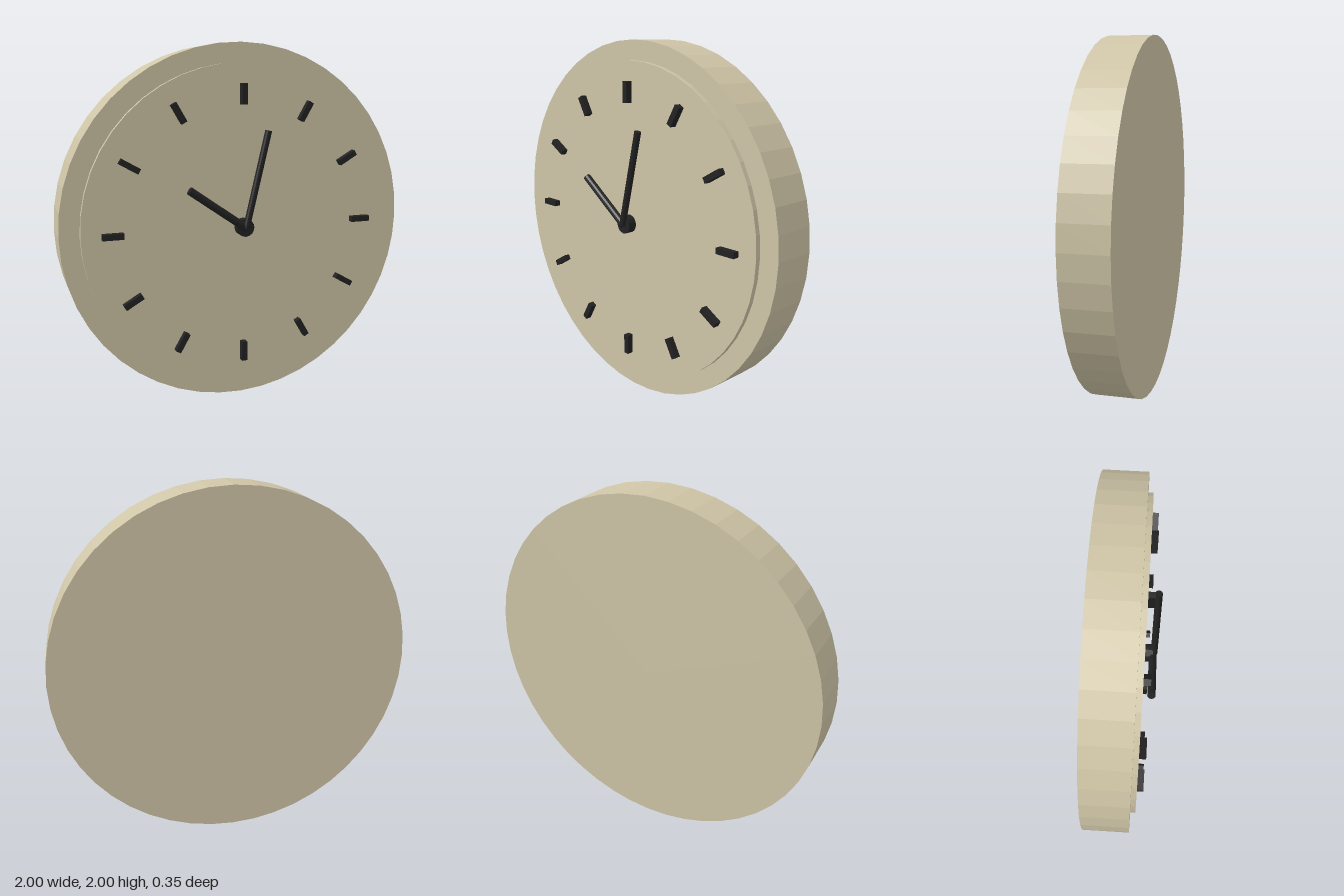
import * as THREE from 'three';

export function createModel() {
  const clock = new THREE.Group();
  clock.name = 'wallClock';
  const beige = new THREE.MeshStandardMaterial({ color: 0xcfc5a7, flatShading: true });
  beige.name = 'beige';
  const black = new THREE.MeshStandardMaterial({ color: 0x222222, flatShading: true });
  black.name = 'black';

  // All parts sit around the dial centre
  const face = new THREE.Group();
  face.name = 'clockFace';
  face.position.y = 1;
  clock.add(face);

  const add = (name, geometry, material) => {
    const mesh = new THREE.Mesh(geometry, material);
    mesh.name = name;
    face.add(mesh);
    return mesh;
  };

  // Disc facing the front, spanning z0 to z1
  const disc = (name, radius, z0, z1, sides, material) => {
    const g = new THREE.CylinderGeometry(radius, radius, z1 - z0, sides);
    g.rotateX(Math.PI / 2);
    g.translate(0, 0, (z0 + z1) / 2);
    return add(name, g, material);
  };
  disc('case', 1, -0.175, 0.072, 48, beige);
  disc('dial', 0.893, 0.072, 0.1, 48, beige);
  disc('hub', 0.05, 0.1, 0.15, 16, black);

  // Twelve hour marks
  for (let i = 0; i < 12; i++) {
    const g = new THREE.BoxGeometry(0.032, 0.114, 0.036);
    g.translate(0, 0.728, 0.118);
    add('hourMark' + (i + 1), g, black).rotation.z = -(i + 1) * Math.PI / 6;
  }

  // Round-bar hands running from the centre to a tip
  const hand = (name, x, y, z, radius) => {
    const length = Math.hypot(x, y);
    const g = new THREE.CylinderGeometry(radius, radius, length, 12);
    g.translate(0, length / 2, z);
    add(name, g, black).rotation.z = -Math.atan2(x, y);
  };
  hand('hourHand', -0.32, 0.225, 0.149, 0.022);
  hand('minuteHand', 0.128, 0.532, 0.156, 0.019);

  return clock;
}
